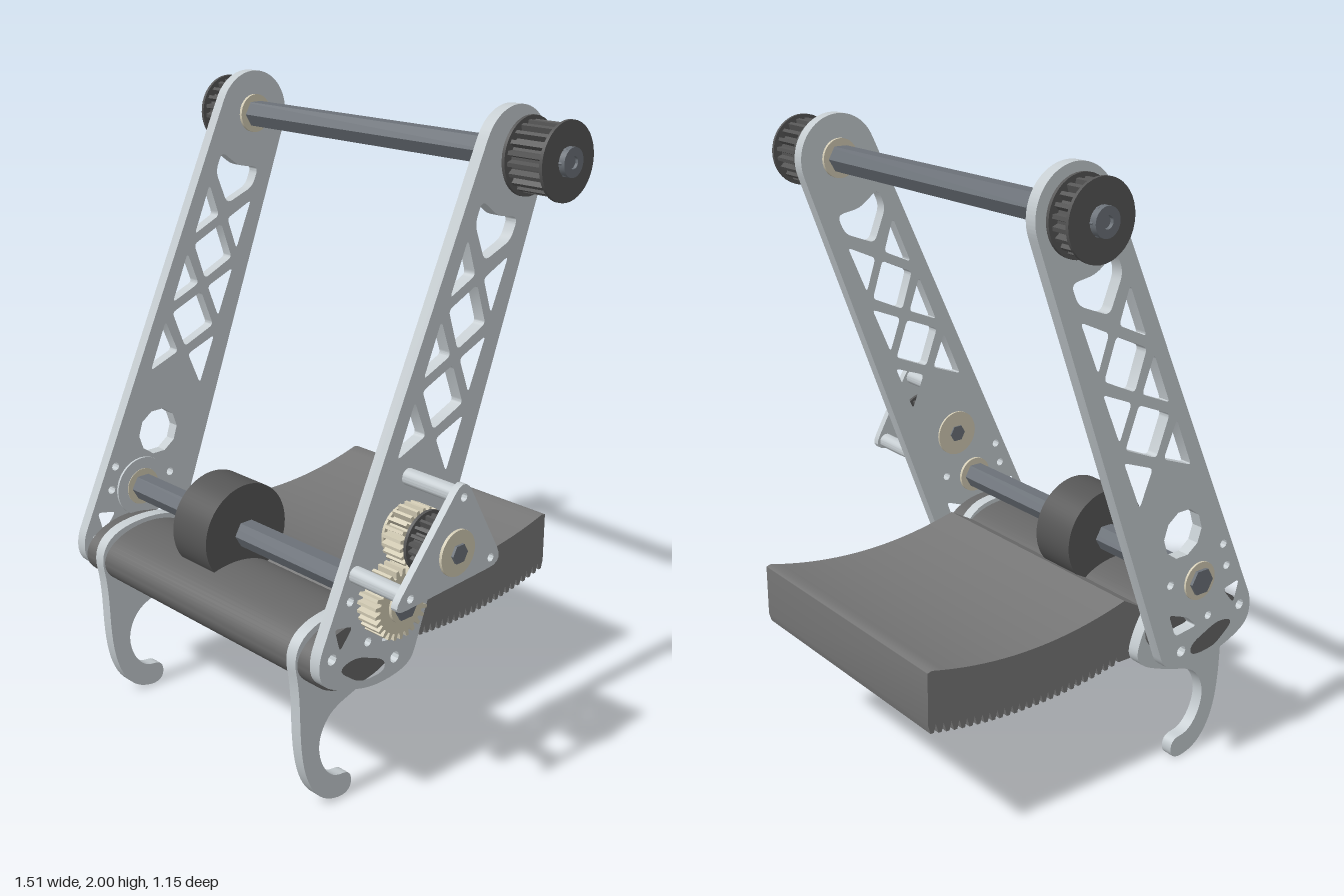
import * as THREE from 'three';
import { toCreasedNormals } from 'three/addons/utils/BufferGeometryUtils.js';

const mat = (color) => new THREE.MeshStandardMaterial({ color });
const plateMat = mat(0xc5ccd0), darkMat = mat(0x555555), slabMat = mat(0x777777);
const shaftMat = mat(0x6b7178), gearMat = mat(0xd2cbb4), bodyMat = mat(0x666666);

// Profiles are given as [z, y] pairs and extruded along x.
const vec = ([z, y]) => new THREE.Vector2(-z, y);

// Closed polygon with rounded corners (a large r gives a smooth blob).
function roundPoly(points, r, path = new THREE.Shape()) {
  const p = points.map(vec), n = p.length;
  p.forEach((c, i) => {
    const toward = (q) => {
      const d = q.clone().sub(c), len = d.length();
      return c.clone().addScaledVector(d, Math.min(r, len / 2) / len);
    };
    const a = toward(p[(i + n - 1) % n]), b = toward(p[(i + 1) % n]);
    if (i === 0) path.moveTo(a.x, a.y); else path.lineTo(a.x, a.y);
    path.quadraticCurveTo(c.x, c.y, b.x, b.y);
  });
  path.closePath();
  return path;
}
const hole = (pts, r = 0.015) => roundPoly(pts, r, new THREE.Path());
const roundHole = (z, y, r) => new THREE.Path().absarc(-z, y, r, 0, Math.PI * 2);

function extrudeX(name, shape, x0, x1, material, curveSegments = 5) {
  let g = new THREE.ExtrudeGeometry(shape, { depth: x1 - x0, bevelEnabled: false, curveSegments });
  g.rotateY(Math.PI / 2).translate(x0, 0, 0);
  const mesh = new THREE.Mesh(toCreasedNormals(g, 0.55), material);
  mesh.name = name;
  return mesh;
}

// Cylinder lying along x.
function rod(name, z, y, r, x0, x1, material, sides = 32) {
  let g = new THREE.CylinderGeometry(r, r, x1 - x0, sides);
  g.rotateZ(Math.PI / 2);
  g = toCreasedNormals(g, 0.55);
  const mesh = new THREE.Mesh(g, material);
  mesh.position.set((x0 + x1) / 2, y, z);
  mesh.name = name;
  return mesh;
}

function gear(name, z, y, r, depth, teeth, x0, x1, material) {
  const pts = [];
  for (let i = 0; i < teeth; i++) {
    [[0, r - depth], [0.3, r - depth], [0.45, r], [0.8, r]].forEach(([f, rad]) => {
      const a = ((i + f) / teeth) * Math.PI * 2;
      pts.push(vec([z + rad * Math.cos(a), y + rad * Math.sin(a)]));
    });
  }
  return extrudeX(name, new THREE.Shape(pts), x0, x1, material);
}

function pulley(name, z, y, r, x0, x1) {
  const g = new THREE.Group();
  g.name = name;
  g.add(gear('pulleyTeeth', z, y, r * 0.9, 0.018, 20, x0, x1, darkMat));
  for (const x of [x0, x1 - 0.01]) g.add(rod('pulleyFlange', z, y, r, x, x + 0.01, darkMat, 40));
  return g;
}

const TOP = [-0.185, 1.865], LOW = [0.34, 0.683], MID = [0.262, 0.857];
// Arm coordinates: s runs down the arm from the top shaft, t runs across it.
const arm = (s, t) => [TOP[0] + 0.4 * s + 0.917 * t, TOP[1] - 0.917 * s + 0.4 * t];
const shrink = (pts, k) => {
  const cs = pts.reduce((a, p) => a + p[0], 0) / pts.length;
  const ct = pts.reduce((a, p) => a + p[1], 0) / pts.length;
  return pts.map(([s, t]) => arm(cs + (s - cs) * k, ct + (t - ct) * k));
};

function armShape() {
  const outline = [];
  for (let i = 0; i <= 16; i++) {
    const a = (i / 16) * Math.PI;
    outline.push(arm(-0.138 * Math.sin(a), 0.138 * Math.cos(a)));
  }
  outline.push([0.21, 0.42], [0.29, 0.4], [0.38, 0.4], [0.5, 0.435], [0.572, 0.475], [0.582, 0.55]);
  const shape = roundPoly(outline, 0.04);
  // X-braced lightening holes
  const s0 = 0.24, step = 0.235;
  for (let i = 0; i < 3; i++) {
    const a = s0 + i * step, b = a + step, m = a + step / 2, w = 0.105 + 0.008 * i;
    for (const e of [w, -w]) shape.holes.push(hole(shrink([[a, e], [b, e], [m, 0]], 0.72)));
    if (i < 2) shape.holes.push(hole(shrink([[m, 0], [b, w], [m + step, 0], [b, -w]], 0.81)));
  }
  shape.holes.push(
    hole(shrink([[0.15, 0.1], [0.23, 0.1], [0.33, 0], [0.23, -0.1], [0.15, -0.1], [0.175, 0]], 0.85), 0.025),
    roundHole(MID[0], MID[1], 0.078),
    hole([[0.52, 0.635], [0.45, 0.62], [0.5, 0.56]]),
    hole([[0.22, 0.6], [0.3, 0.57], [0.34, 0.53], [0.25, 0.52]]),
    hole([[0.51, 0.5], [0.44, 0.52], [0.32, 0.47], [0.32, 0.43], [0.42, 0.43]], 0.04),
    roundHole(0.53, 0.545, 0.017), roundHole(0.28, 0.46, 0.018),
    roundHole(0.44, 0.777, 0.014), roundHole(0.46, 0.7, 0.014),
    roundHole(0.22, 0.7, 0.014), roundHole(0.39, 0.55, 0.014));
  return shape;
}

export function createModel() {
  const model = new THREE.Group();
  model.name = 'intakeArm';
  const add = (...parts) => model.add(...parts);

  // Two side arms
  add(extrudeX('rightArm', armShape(), -0.638, -0.6, plateMat),
    extrudeX('leftArm', armShape(), 0.487, 0.526, plateMat));

  // Hooks under the front edge
  const hook = roundPoly([[0.585, 0.53], [0.562, 0.42], [0.56, 0.22], [0.535, 0.1], [0.48, 0.02],
    [0.4, -0.008], [0.355, 0.01], [0.36, 0.07], [0.43, 0.075], [0.475, 0.13], [0.492, 0.2],
    [0.475, 0.26], [0.43, 0.31], [0.32, 0.34], [0.18, 0.4], [0.205, 0.5], [0.27, 0.6],
    [0.4, 0.62], [0.53, 0.6]], 1);
  add(extrudeX('rightHook', hook, -0.54, -0.5, plateMat),
    extrudeX('leftHook', hook, 0.387, 0.426, plateMat));

  // Rounded cross body between the arms
  const bar = new THREE.Shape().absellipse(-0.395, 0.5, 0.175, 0.1, 0, Math.PI * 2);
  add(extrudeX('crossBody', bar, -0.6, 0.487, bodyMat, 32));

  // Curved tray with a ribbed underside
  const tray = [[0.36, 0.404], [0.36, 0.5], [0.22, 0.58]];
  const sag = (z) => ((z + 0.19) / 0.385) ** 2;
  for (let i = 0; i <= 20; i++) {
    const z = 0.165 - (i / 20) * 0.725;
    tray.push([z, 0.565 + 0.055 * sag(z)]);
  }
  tray.push([-0.575, 0.612]);
  const ribs = 26, pitch = 0.715 / ribs;
  for (let i = 0; i < ribs; i++) {
    const z = -0.575 + i * pitch, y = 0.372 + 0.045 * sag(z);
    tray.push([z, y + 0.028], [z + pitch * 0.3, y], [z + pitch * 0.7, y], [z + pitch * 0.98, y + 0.028]);
  }
  tray.push([0.15, 0.406]);
  add(extrudeX('ribbedTray', new THREE.Shape(tray.map(vec)), -0.5, 0.386, slabMat));

  // Hexagonal shafts and the drive wheel
  add(rod('topShaft', ...TOP, 0.044, -0.745, 0.715, shaftMat, 6),
    rod('lowerShaft', ...LOW, 0.044, -0.655, 0.63, shaftMat, 6),
    rod('driveWheel', ...LOW, 0.16, -0.22, -0.06, darkMat, 64));

  // Bearings and collars beside the arms
  for (const [z, y] of [TOP, LOW]) {
    for (const [x0, x1] of [[-0.645, -0.59], [0.477, 0.535]]) {
      add(rod('bearing', z, y, 0.062, x0, x1, gearMat));
    }
  }
  add(rod('bearingHousing', ...LOW, 0.1, -0.6, -0.592, plateMat),
    rod('hub', ...TOP, 0.052, 0.53, 0.565, shaftMat));

  // Top belt pulleys with end collars
  add(pulley('rightTopPulley', ...TOP, 0.113, -0.735, -0.65),
    pulley('leftTopPulley', ...TOP, 0.113, 0.565, 0.705));
  for (const [x0, x1] of [[-0.757, -0.735], [0.705, 0.724]]) {
    const collar = new THREE.Shape().absarc(-TOP[0], TOP[1], 0.042, 0, Math.PI * 2);
    collar.holes.push(roundHole(...TOP, 0.018));
    add(extrudeX('endCollar', collar, x0, x1, shaftMat, 16));
  }

  // Gearbox: gears, pulley, standoffs and triangular outer plate
  add(gear('lowerGear', ...LOW, 0.108, 0.02, 26, 0.54, 0.612, gearMat),
    gear('upperGear', ...MID, 0.092, 0.02, 22, 0.54, 0.612, gearMat),
    pulley('gearboxPulley', ...MID, 0.09, 0.622, 0.7),
    rod('lowerGearHub', ...LOW, 0.055, 0.612, 0.622, gearMat),
    rod('gearboxShaft', ...MID, 0.03, 0.475, 0.752, shaftMat, 6),
    rod('gearboxInnerBearing', ...MID, 0.078, 0.48, 0.535, gearMat),
    rod('gearboxBearing', ...MID, 0.068, 0.7, 0.744, gearMat));
  const posts = [[0.235, 1.012], [0.115, 0.795], [0.44, 0.777]];
  const cover = roundPoly([[0.232, 1.075], [0.06, 0.768], [0.515, 0.745]], 0.06);
  posts.forEach(([z, y]) => {
    cover.holes.push(roundHole(z, y, 0.013));
    add(rod('standoff', z, y, 0.025, 0.526, 0.712, plateMat, 20));
  });
  add(extrudeX('gearboxPlate', cover, 0.712, 0.735, plateMat));

  return model;
}
